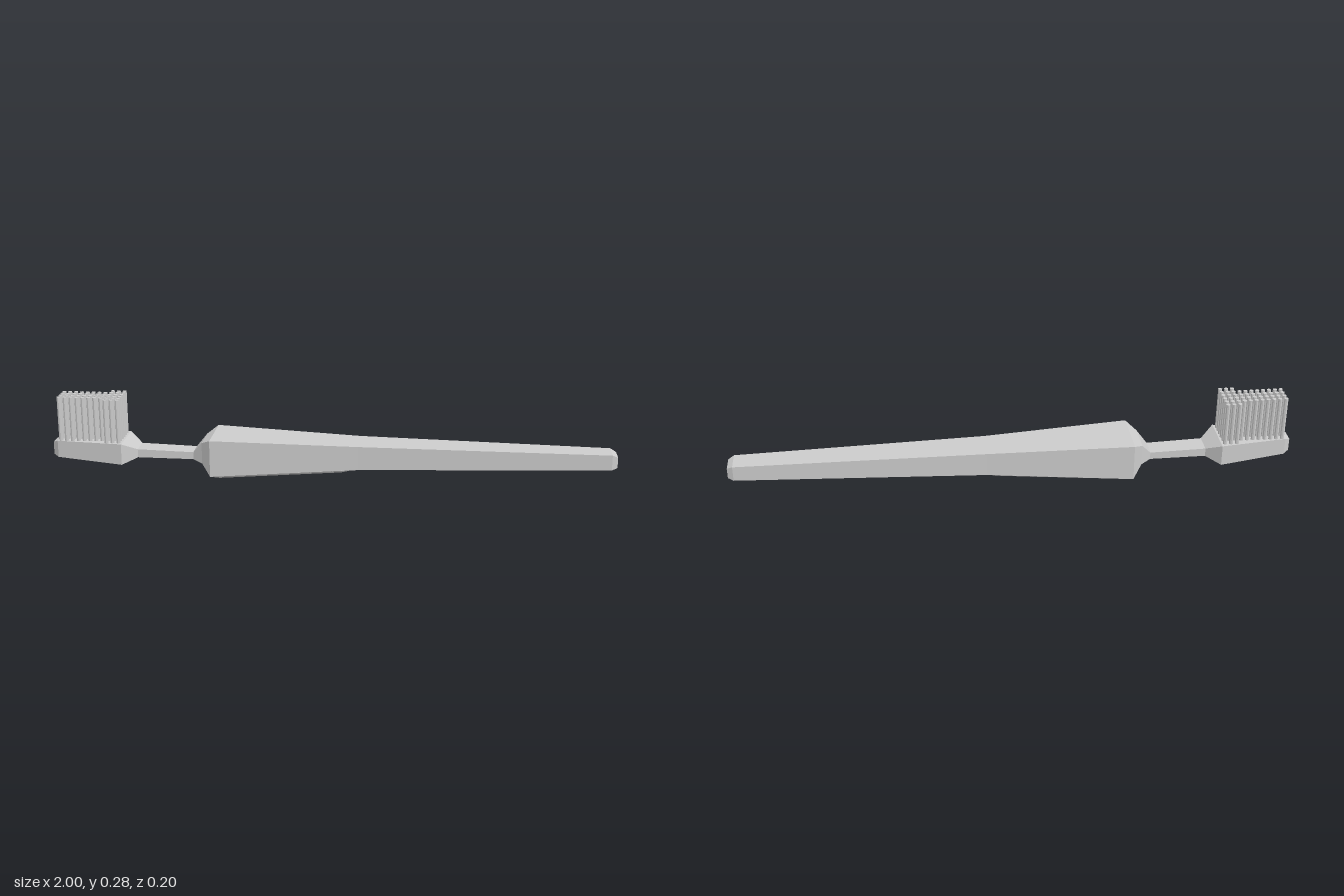
import * as THREE from 'three';

const material = new THREE.MeshStandardMaterial({ color: 0xcccccc, flatShading: true });

// Skins a list of equal-length rings (each counter-clockwise seen from +x) and caps both ends
function loft(name, rings) {
  const n = rings[0].length;
  const index = [];
  for (let i = 0; i < rings.length - 1; i++) {
    for (let j = 0; j < n; j++) {
      const a = i * n + j, b = i * n + (j + 1) % n;
      index.push(a, b, b + n, a, b + n, a + n);
    }
  }
  const last = (rings.length - 1) * n;
  for (let j = 1; j < n - 1; j++) {
    index.push(0, j + 1, j);
    index.push(last, last + j, last + j + 1);
  }
  const geometry = new THREE.BufferGeometry();
  geometry.setAttribute('position', new THREE.Float32BufferAttribute(rings.flat(2), 3));
  geometry.setIndex(index);
  const flat = geometry.toNonIndexed();
  flat.computeVertexNormals();
  const mesh = new THREE.Mesh(flat, material);
  mesh.name = name;
  return mesh;
}

// Rectangular cross-section at x
const rect = ([x, bottom, top, half]) => [
  [x, bottom, half], [x, bottom, -half], [x, top, -half], [x, top, half],
];

// Rounded belly below the grip: flat on top, bulging down by depth
const belly = ([x, y, half, depth]) => [
  [x, y, half], [x, y - depth * 0.75, half * 0.78], [x, y - depth, half * 0.4],
  [x, y - depth, -half * 0.4], [x, y - depth * 0.75, -half * 0.78], [x, y, -half],
];

export function createModel() {
  const model = new THREE.Group();
  model.name = 'toothbrush';

  // Head, neck and handle: x, bottom, top, half width
  model.add(loft('body', [
    [-1.0, 0.06, 0.105, 0.025],
    [-0.98, 0.054, 0.115, 0.042],
    [-0.74, 0.044, 0.12, 0.08],
    [-0.69, 0.06, 0.09, 0.038],
    [-0.49, 0.058, 0.084, 0.036],
    [-0.455, 0.05, 0.126, 0.057],
    [-0.42, 0.015, 0.147, 0.098],
    [0.1, 0.045, 0.13, 0.065],
    [0.98, 0.063, 0.117, 0.042],
    [1.0, 0.069, 0.107, 0.032],
  ].map(rect)));

  // Finger rest under the handle: x, edge height, half width, depth
  model.add(loft('fingerRest', [
    [-0.42, 0.0155, 0.098, 0.003],
    [-0.39, 0.0168, 0.096, 0.0168],
    [0.04, 0.042, 0.069, 0.015],
    [0.1, 0.0455, 0.065, 0.001],
  ].map(belly)));

  // Bristle tufts in straight rows, fewer where the head narrows
  const bristles = new THREE.Group();
  bristles.name = 'bristles';
  const radius = 0.0075, base = 0.1, top = 0.277;
  const tuft = new THREE.CylinderGeometry(radius, radius, top - base, 8);
  for (let i = 0; i < 11; i++) {
    const x = -0.968 + i * 0.0215;
    const half = 0.042 + (x + 0.98) * 0.158;
    for (let j = 0; j < 6; j++) {
      const z = (j - 2.5) * 0.0242;
      if (Math.abs(z) + radius > half) continue;
      const mesh = new THREE.Mesh(tuft, material);
      mesh.name = 'bristleTuft';
      mesh.position.set(x, (base + top) / 2, z);
      bristles.add(mesh);
    }
  }
  model.add(bristles);
  return model;
}
